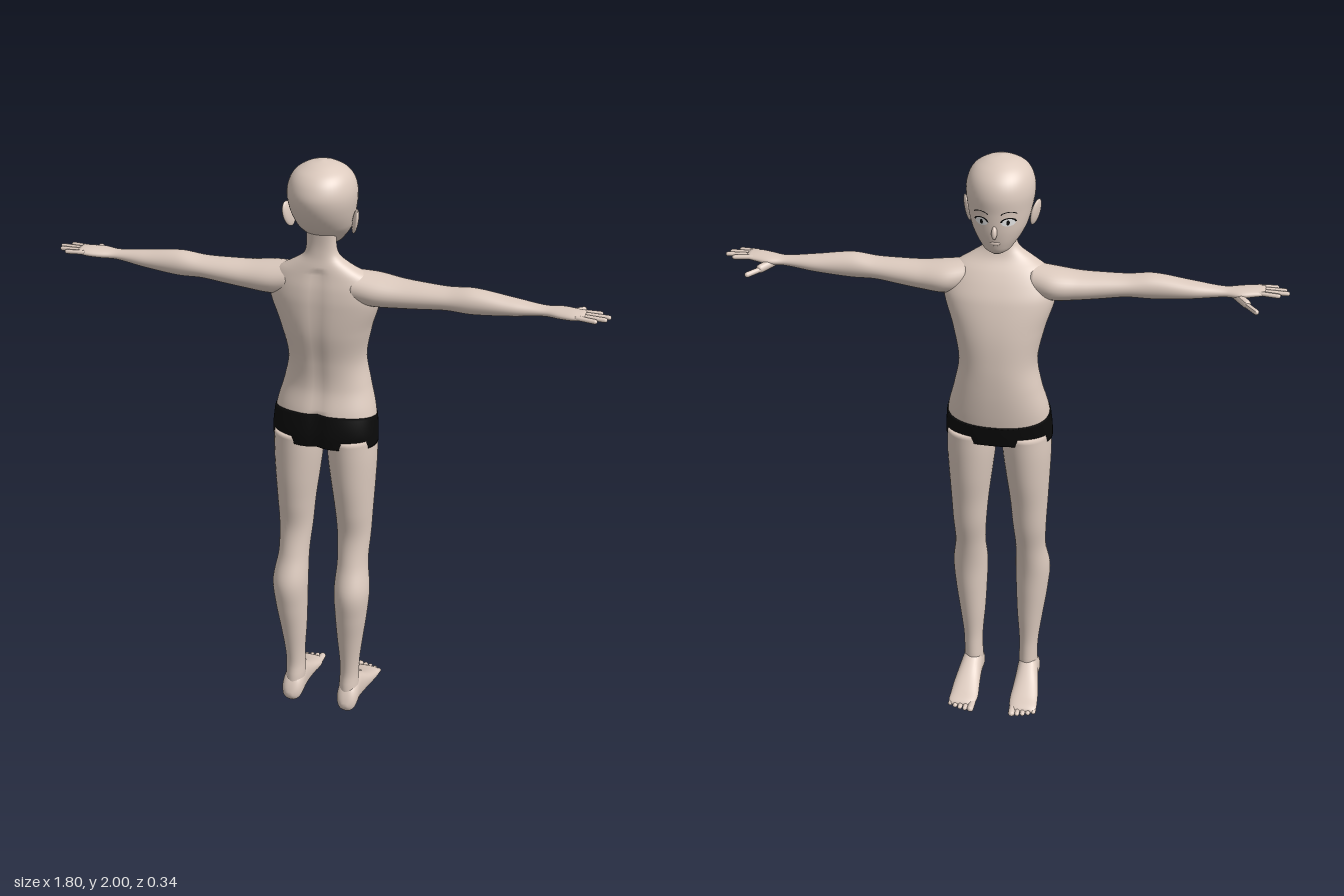
import * as THREE from 'three';

const skin = new THREE.MeshStandardMaterial({ color: 0xdccabe, name: 'skin' });
const black = new THREE.MeshStandardMaterial({ color: 0x0a0a0a, name: 'black' });
const white = new THREE.MeshStandardMaterial({ color: 0xffffff, name: 'white' });

// Smooth interpolation of rows [t, aMin, aMax, bMin, bMax]
function sample(rows, t) {
  const last = rows.length - 1;
  let i = 0;
  while (i < last - 1 && t > rows[i + 1][0]) i++;
  const h = rows[i + 1][0] - rows[i][0];
  const s = THREE.MathUtils.clamp((t - rows[i][0]) / h, 0, 1);
  const slope = (k, c) => {
    const a = rows[Math.max(k - 1, 0)], b = rows[Math.min(k + 1, last)];
    return (b[c] - a[c]) / (b[0] - a[0]);
  };
  return [1, 2, 3, 4].map((c) =>
    (2 * s ** 3 - 3 * s * s + 1) * rows[i][c] + (s ** 3 - 2 * s * s + s) * h * slope(i, c) +
    (3 * s * s - 2 * s ** 3) * rows[i + 1][c] + (s ** 3 - s * s) * h * slope(i + 1, c));
}

// Closed skin over cross-sections along an axis; a and b are the next two axes in x, y, z order
function loft(rows, axis, { n = 36, steps = 48, p = 2, t0 = rows[0][0], t1 = rows[rows.length - 1][0],
  grow = 0, shift = null, drop = 0, warp = null } = {}) {
  const k = 'xyz'.indexOf(axis), pos = [], idx = [];
  const ring = (t, ang, size) => {
    const [a0, a1, b0, b1] = sample(rows, t);
    const c = Math.cos(ang), s = Math.sin(ang), e = 2 / p;
    return [
      (a0 + a1) / 2 + size * ((a1 - a0) / 2 + grow) * Math.sign(c) * Math.abs(c) ** e,
      (b0 + b1) / 2 + size * ((b1 - b0) / 2 + grow) * Math.sign(s) * Math.abs(s) ** e];
  };
  for (let j = -1; j <= steps + 1; j++) {
    const size = j < 0 || j > steps ? 0 : 1;
    const base = t0 + (t1 - t0) * THREE.MathUtils.clamp(j / steps, 0, 1);
    for (let i = 0; i < n; i++) {
      const ang = (i / n) * Math.PI * 2, v = [0, 0, 0];
      let t = base, q = ring(t, ang, size);
      if (shift) { t += shift(t, q[0]); q = ring(t, ang, size); }
      v[k] = j < 0 ? t - drop : t;
      v[(k + 1) % 3] = q[0];
      v[(k + 2) % 3] = q[1];
      if (warp) warp(v);
      pos.push(...v);
    }
  }
  for (let j = 0; j < steps + 2; j++) for (let i = 0; i < n; i++) {
    const a = j * n + i, b = j * n + (i + 1) % n;
    idx.push(a, b, b + n, a, b + n, a + n);
  }
  const g = new THREE.BufferGeometry();
  g.setAttribute('position', new THREE.Float32BufferAttribute(pos, 3));
  g.setIndex(idx);
  g.computeVertexNormals();
  return g;
}

// Rounded digit between two points
function digit(a, b, r, flat = 1) {
  const A = new THREE.Vector3(...a), B = new THREE.Vector3(...b), d = B.clone().sub(A);
  const g = new THREE.CapsuleGeometry(r, d.length() - r, 5, 10);
  g.applyQuaternion(new THREE.Quaternion().setFromUnitVectors(new THREE.Vector3(0, 1, 0), d.normalize()));
  g.scale(1, flat, 1);
  const m = A.add(B).multiplyScalar(0.5);
  return g.translate(m.x, m.y, m.z);
}

function mirrored(geo) {
  const g = geo.clone().scale(-1, 1, 1), ix = g.index.array;
  for (let i = 0; i < ix.length; i += 3) [ix[i], ix[i + 1]] = [ix[i + 1], ix[i]];
  g.computeVertexNormals();
  return g;
}

// Symmetric sections: [y, zFront, zBack, halfWidth]
const sym = (rows) => rows.map(([y, f, b, w]) => [y, f, b, -w, w]);

const body = sym([
  [1.05, -0.08, 0.12, 0.174], [1.1, -0.09, 0.125, 0.172], [1.17, -0.1, 0.115, 0.163],
  [1.25, -0.106, 0.096, 0.142], [1.34, -0.106, 0.1, 0.127], [1.45, -0.096, 0.118, 0.148],
  [1.55, -0.07, 0.12, 0.178], [1.6, -0.045, 0.115, 0.172], [1.64, -0.018, 0.106, 0.148],
  [1.67, 0.008, 0.1, 0.1], [1.7, 0.02, 0.093, 0.058], [1.74, 0.027, 0.09, 0.047], [1.8, 0.03, 0.095, 0.047]]);

const head = sym([
  [1.713, -0.044, 0.0, 0.018], [1.725, -0.056, 0.015, 0.038], [1.745, -0.064, 0.045, 0.055],
  [1.77, -0.07, 0.085, 0.073], [1.8, -0.074, 0.12, 0.088], [1.85, -0.076, 0.155, 0.101],
  [1.9, -0.077, 0.17, 0.107], [1.94, -0.064, 0.161, 0.1], [1.97, -0.037, 0.137, 0.081],
  [1.99, -0.002, 0.1, 0.049], [1.997, 0.022, 0.077, 0.026], [2, 0.045, 0.055, 0.005]]);

const leg = [
  [0.03, 0.02, 0.108, 0.07, 0.133], [0.1, 0.01, 0.103, 0.065, 0.133], [0.14, 0.012, 0.096, 0.067, 0.132],
  [0.2, 0.015, 0.1, 0.066, 0.135], [0.3, 0.01, 0.115, 0.058, 0.148], [0.4, 0.005, 0.132, 0.053, 0.162],
  [0.5, 0, 0.14, 0.05, 0.17], [0.6, -0.015, 0.105, 0.053, 0.157], [0.7, -0.038, 0.086, 0.046, 0.16],
  [0.8, -0.053, 0.098, 0.037, 0.165], [0.9, -0.07, 0.11, 0.024, 0.17],
  [1, -0.08, 0.116, 0.012, 0.174], [1.08, -0.083, 0.118, 0.008, 0.172]];

const arm = [
  [0.1, 1.555, 1.655, -0.02, 0.1], [0.17, 1.545, 1.648, -0.04, 0.102], [0.25, 1.55, 1.639, -0.028, 0.094],
  [0.32, 1.557, 1.637, -0.016, 0.09], [0.4, 1.566, 1.637, -0.005, 0.088], [0.48, 1.564, 1.645, 0, 0.088],
  [0.6, 1.575, 1.63, 0.004, 0.079], [0.7, 1.588, 1.619, 0.016, 0.066], [0.75, 1.59, 1.621, 0.006, 0.08],
  [0.79, 1.594, 1.622, 0.014, 0.088], [0.825, 1.6, 1.619, 0.022, 0.086]];

const foot = [
  [-0.148, 0.012, 0.02, 0.075, 0.142], [-0.135, 0.063, 0.156, 0.008, 0.033], [-0.1, 0.057, 0.156, 0.005, 0.047],
  [-0.05, 0.06, 0.152, 0.008, 0.073], [0, 0.063, 0.144, 0.006, 0.105], [0.04, 0.064, 0.138, 0.002, 0.125],
  [0.09, 0.065, 0.138, 0, 0.1], [0.112, 0.075, 0.13, 0.008, 0.07], [0.122, 0.09, 0.115, 0.025, 0.045]];
foot[0] = [-0.148, 0.072, 0.146, 0.012, 0.024];

// Ellipse-like patch laid on the front of the face
function facePatch(x, y, w, h, inner = 0, start = 0, arc = Math.PI * 2, lift = 0.002) {
  const g = new THREE.RingGeometry(inner, 1, 24, 4, start, arc).scale(w, h, 1).rotateY(Math.PI).translate(x, y, 0);
  const p = g.attributes.position;
  for (let i = 0; i < p.count; i++) {
    const [f, b, , r] = sample(head, p.getY(i));
    p.setZ(i, (f + b) / 2 - (b - f) / 2 * Math.sqrt(Math.max(0, 1 - (p.getX(i) / r) ** 2)) - lift);
  }
  g.computeVertexNormals();
  return g;
}

export function createModel() {
  const model = new THREE.Group();
  model.name = 'figure';
  const add = (name, geo, mat = skin) => {
    const m = new THREE.Mesh(geo, mat);
    m.name = name;
    model.add(m);
  };
  const pair = (name, geo, mat) => {
    add('left' + name, geo, mat);
    add('right' + name, mirrored(geo), mat);
  };

  // Shallow groove along the spine and between the seat halves
  const groove = (v) => {
    if (v[2] > 0.05 && v[1] < 1.66) v[2] -= (v[1] < 1.17 ? 0.012 : 0.006) * Math.exp(-((v[0] / 0.022) ** 2));
  };
  add('torso', loft(body, 'y', { n: 64, steps: 80, p: 2.25, t0: 1.075, warp: groove }));
  // Briefs follow the hips, with the waist lower at the front
  add('briefs', loft(body, 'y', {
    n: 64, steps: 14, p: 2.25, t0: 1.052, t1: 1.145, grow: 0.003, drop: 0.022,
    shift: (t, z) => 0.19 * z * (t - 1.052) / 0.093, warp: groove }), black);

  // Head and face
  add('head', loft(head, 'y', { n: 48, steps: 72 }));
  add('nose', new THREE.SphereGeometry(1, 16, 12).scale(0.009, 0.021, 0.013).rotateX(0.3).translate(0, 1.796, -0.077));
  add('lips', new THREE.SphereGeometry(1, 16, 10).scale(0.017, 0.008, 0.006).translate(0, 1.757, -0.064));
  pair('Ear', new THREE.SphereGeometry(1, 16, 14).scale(0.009, 0.042, 0.025)
    .rotateX(0.2).rotateY(0.4).rotateZ(-0.15).translate(0.107, 1.82, 0.056));
  pair('Eye', facePatch(0.042, 1.828, 0.021, 0.012), white);
  pair('Pupil', facePatch(0.041, 1.828, 0.005, 0.008, 0, 0, Math.PI * 2, 0.003), black);
  pair('Lash', facePatch(0.042, 1.828, 0.024, 0.016, 0.78, 0.1, Math.PI - 0.2, 0.003), black);
  pair('Brow', facePatch(0.043, 1.846, 0.028, 0.018, 0.86, 0.5, Math.PI - 1, 0.003), black);

  // Arms with hands
  pair('Arm', loft(arm, 'x', { n: 32, steps: 64 }));
  const tips = [[0.872, 0.022], [0.9, 0.044], [0.892, 0.066], [0.866, 0.087]];
  tips.forEach(([x, z], i) => pair('Finger' + (i + 1),
    digit([0.8, 1.611, 0.03 + i * 0.0165], [x - 0.004, 1.609, z], 0.0085, 0.85)));
  pair('ThumbBase', digit([0.735, 1.6, 0.03], [0.775, 1.588, -0.012], 0.014, 1));
  pair('Thumb', digit([0.762, 1.589, -0.002], [0.805, 1.583, -0.052], 0.009, 1));

  // Legs with feet
  pair('Leg', loft(leg, 'y', { n: 36, steps: 64 }));
  pair('Foot', loft(foot, 'z', { n: 32, steps: 40, p: 2.3 }));
  for (let i = 0; i < 5; i++) {
    const x = 0.073 + i * 0.0185 - (i ? 0 : 0.001), r = i ? 0.0088 : 0.012;
    pair('Toe' + (i + 1), digit([x, 0.02, -0.12], [x + 0.002, 0.015, -0.167 + i * i * 0.0013], r, 0.9));
  }
  return model;
}
